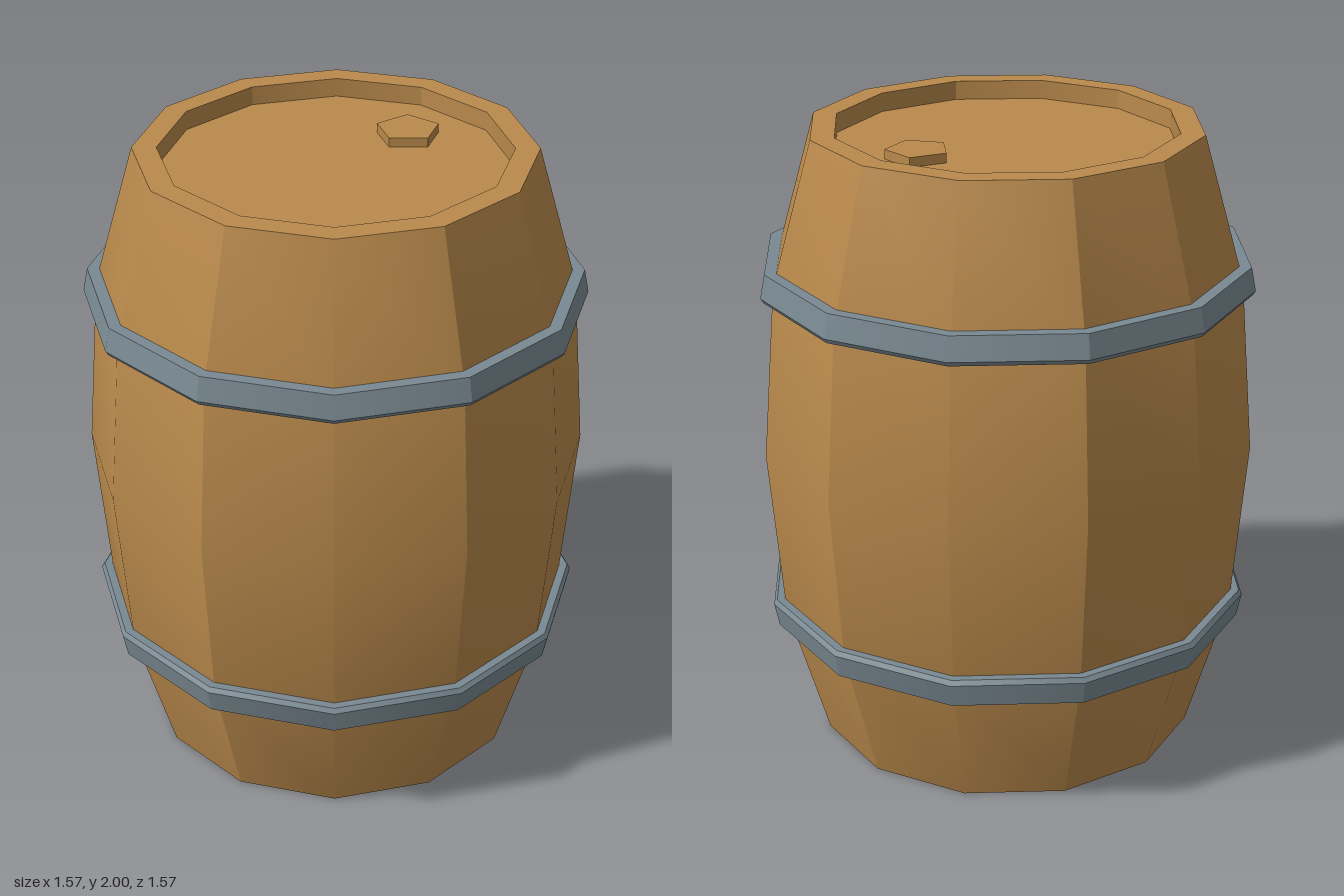
import * as THREE from 'three';
import { toCreasedNormals } from 'three/addons/utils/BufferGeometryUtils.js';

const SIDES = 12;

// Twelve-sided turned solid: flat staves, gently blended vertically
function turned(profile) {
  const lathe = new THREE.LatheGeometry(profile.map(([r, y]) => new THREE.Vector2(r, y)), SIDES);
  const geometry = toCreasedNormals(lathe, 0.45);
  // Soften the four edges lying on the x and z axes
  const pos = geometry.attributes.position;
  const normal = geometry.attributes.normal;
  const n = new THREE.Vector3();
  for (let i = 0; i < pos.count; i++) {
    n.fromBufferAttribute(normal, i);
    if (Math.abs(pos.getX(i)) < 1e-4) n.x = 0;
    if (Math.abs(pos.getZ(i)) < 1e-4) n.z = 0;
    n.normalize();
    normal.setXYZ(i, n.x, n.y, n.z);
  }
  return geometry;
}

// Mirror a profile about mid-height, keeping the bottom-to-top order
const mirrored = (profile) => profile.map(([r, y]) => [r, 2 - y]).reverse();

export function createModel() {
  const wood = new THREE.MeshStandardMaterial({ name: 'wood', color: 0xba8a4c });
  const iron = new THREE.MeshStandardMaterial({ name: 'iron', color: 0x7a8a92 });
  const group = new THREE.Group();
  group.name = 'barrel';

  const add = (name, geometry, material) => {
    const mesh = new THREE.Mesh(geometry, material);
    mesh.name = name;
    group.add(mesh);
    return mesh;
  };

  // Bulging body with a recessed head at each end
  const lowerHalf = [[0, 0.06], [0.535, 0.06], [0.535, 0], [0.61, 0], [0.74, 0.45]];
  add('body', turned([...lowerHalf, [0.785, 1], ...mirrored(lowerHalf)]), wood);

  // Iron hoops, tapering away from the middle
  const hoop = [[0.72, 1.505], [0.77, 1.505], [0.78, 1.52], [0.765, 1.595], [0.72, 1.595]];
  add('upperHoop', turned(hoop), iron);
  add('lowerHoop', turned(mirrored(hoop)), iron);

  // Five-sided bung on the top head
  const bungShape = new THREE.CylinderGeometry(0.1, 0.1, 0.04, 5).toNonIndexed();
  bungShape.computeVertexNormals();
  const bung = add('bung', bungShape, wood);
  bung.position.set(0.22, 1.95, -0.22);
  bung.rotation.y = Math.PI;

  return group;
}
